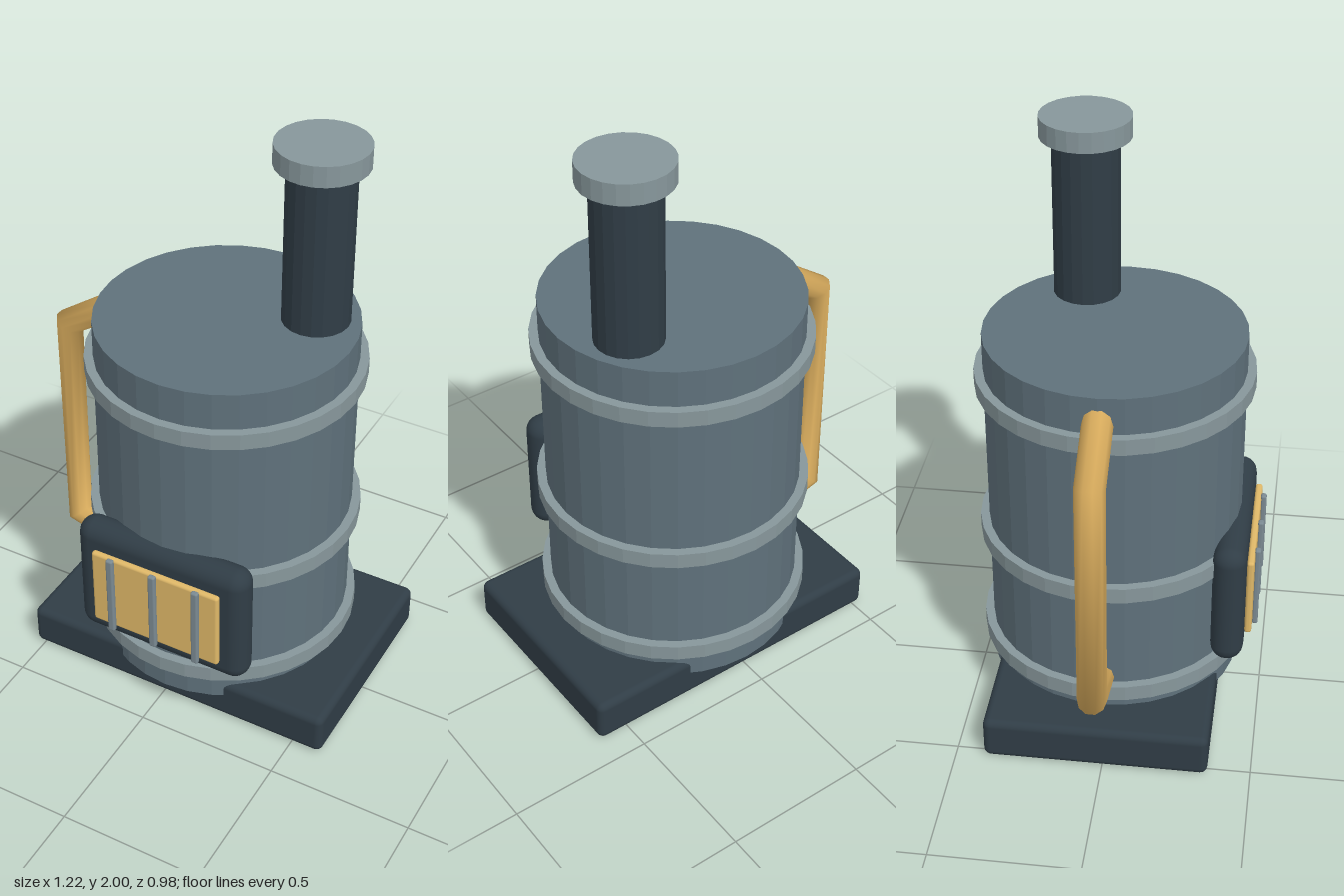
import * as THREE from 'three';
import { RoundedBoxGeometry } from 'three/addons/geometries/RoundedBoxGeometry.js';

const material = (color, flatShading = false) => new THREE.MeshStandardMaterial({ color, flatShading });
const CX = 0.037, CZ = -0.025; // boiler axis

// Straight-sided path whose tube rings sit exactly on the corners, mitred between the two legs
class BentPath extends THREE.Curve {
  constructor(points) {
    super();
    this.points = points;
  }
  getPoint(t, target = new THREE.Vector3()) {
    const n = this.points.length - 1;
    const i = Math.min(Math.floor(t * n + 1e-6), n - 1);
    return target.lerpVectors(this.points[i], this.points[i + 1], t * n - i);
  }
  getPointAt(t, target) {
    return this.getPoint(t, target);
  }
  getTangentAt(t, target = new THREE.Vector3()) {
    const p = this.points, i = Math.round(t * (p.length - 1));
    const leg = (k) => p[k + 1].clone().sub(p[k]).normalize();
    const before = leg(Math.max(i - 1, 0)), after = leg(Math.min(i, p.length - 2));
    return target.copy(before.add(after).normalize());
  }
}

export function createModel() {
  const group = new THREE.Group();
  const steel = material(0x5f717b, true);
  const trim = material(0x87979b, true);
  const iron = material(0x303d46);
  const ironFlat = material(0x303d46, true);
  const brass = material(0xd6aa5c);
  const barMetal = material(0x7b8a92);

  const add = (name, geometry, mat, x, y, z) => {
    const mesh = new THREE.Mesh(geometry, mat);
    mesh.name = name;
    mesh.position.set(x, y, z);
    group.add(mesh);
    return mesh;
  };
  // Upright cylinder between two heights
  const drum = (name, r, y0, y1, sides, mat, x = CX, z = CZ) =>
    add(name, new THREE.CylinderGeometry(r, r, y1 - y0, sides), mat, x, (y0 + y1) / 2, z);
  // Rounded block given by its size and centre
  const block = (name, w, h, d, r, mat, x, y, z) =>
    add(name, new RoundedBoxGeometry(w, h, d, 3, r), mat, x, y, z);

  // Base plate and boiler with its three bands
  block('basePlate', 1.146, 0.15, 0.762, 0.025, iron, CX, 0.077, CZ).scale.y = 1.02;
  drum('boiler', 0.433, 0.1, 1.375, 32, steel);
  for (const y of [0.228, 0.643, 1.218]) drum('boilerBand', 0.463, y - 0.028, y + 0.028, 32, trim);

  // Chimney and cap
  drum('chimney', 0.113, 1.3, 1.94, 20, ironFlat, 0.292, -0.152);
  drum('chimneyCap', 0.152, 1.93, 2, 24, trim, 0.292, -0.152);

  // Firebox door with glowing panel and grate bars
  block('fireboxFrame', 0.636, 0.456, 0.112, 0.055, iron, CX, 0.503, 0.389);
  block('fireboxPanel', 0.476, 0.296, 0.024, 0.01, material(0xdfb868), CX, 0.502, 0.457);
  for (const i of [-1, 0, 1])
    block('grateBar', 0.026, 0.31, 0.02, 0.007, barMetal, CX + i * 0.16, 0.5, 0.477);

  // Side pipe
  const path = new BentPath(
    [[-0.35, 1.305], [-0.57, 1.158], [-0.57, 0.326], [-0.35, 0.265]].map(([x, y]) => new THREE.Vector3(x, y, 0)));
  add('sidePipe', new THREE.TubeGeometry(path, 3, 0.05, 10), brass, 0, 0, CZ);

  return group;
}
